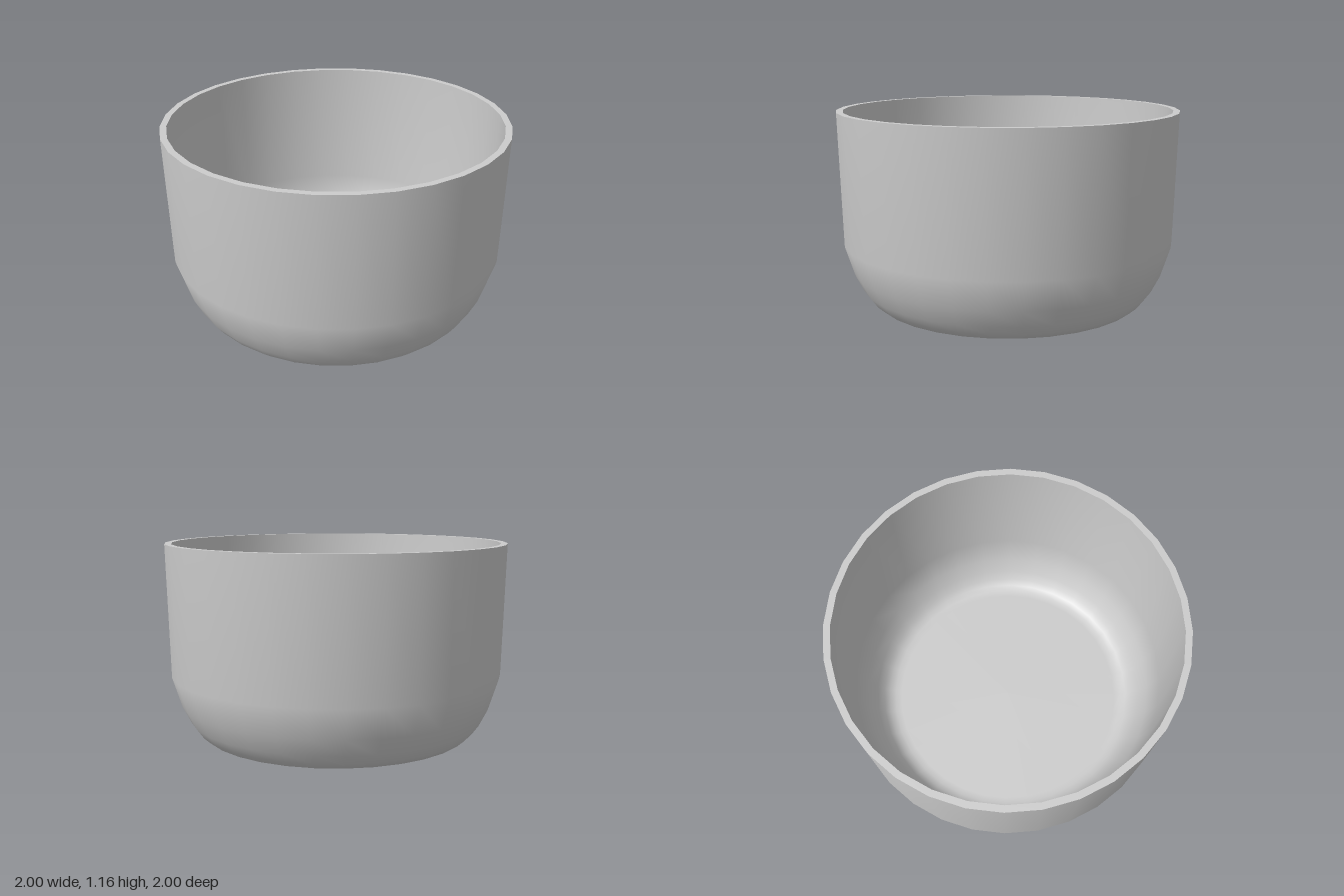
import * as THREE from 'three';

const SEGMENTS = 32;

// Profiles run [radius, height]: up the outside, in across the rim, down the inside
const OUTER = [[0, 0], [0.7, 0], [0.75, 0.006], [0.795, 0.02], [0.835, 0.055],
  [0.875, 0.11], [0.925, 0.21], [0.98, 0.385], [1, 1.157]];
const RIM = [[1, 1.157], [0.962, 1.157]];
const INNER = [[0.962, 1.157], [0.943, 0.39], [0.89, 0.225], [0.845, 0.135],
  [0.81, 0.085], [0.775, 0.055], [0.74, 0.044], [0.7, 0.04], [0, 0.04]];

export function createModel() {
  const bowl = new THREE.Group();
  bowl.name = 'bowl';
  const material = new THREE.MeshStandardMaterial({ color: 0xcccccc });

  // Separate lathes keep the rim edges sharp and the walls smooth
  const addLathe = (name, profile) => {
    const points = profile.map(([r, y]) => new THREE.Vector2(r, y));
    const mesh = new THREE.Mesh(new THREE.LatheGeometry(points, SEGMENTS), material);
    mesh.name = name;
    bowl.add(mesh);
  };

  addLathe('outerWall', OUTER);
  addLathe('rim', RIM);
  addLathe('innerWall', INNER);
  return bowl;
}
